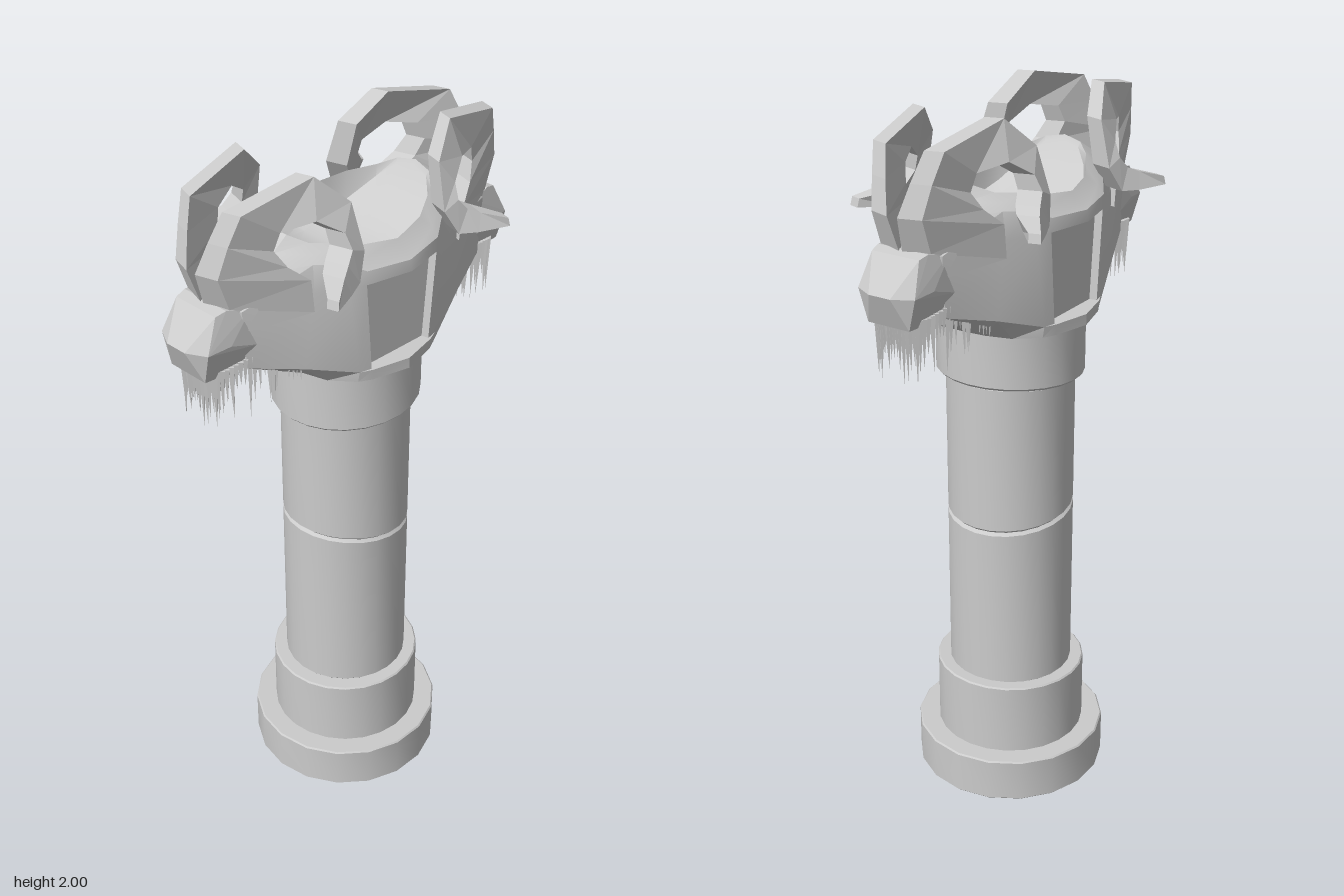
import * as THREE from 'three';
import { toCreasedNormals, mergeGeometries } from 'three/addons/utils/BufferGeometryUtils.js';
import { ConvexGeometry } from 'three/addons/geometries/ConvexGeometry.js';

const smooth = new THREE.MeshStandardMaterial({ color: 0xcccccc });
const flat = new THREE.MeshStandardMaterial({ color: 0xcccccc, flatShading: true });

function add(parent, name, geometry, material = flat) {
  const mesh = new THREE.Mesh(geometry, material);
  mesh.name = name;
  parent.add(mesh);
  return mesh;
}

// Skin closed rings of points; flip swaps the facing
function skin(rings, flip, crease = 0.3) {
  const pos = [];
  const tri = (a, b, c) => {
    const same = (p, q) => p.every((v, k) => Math.abs(v - q[k]) < 1e-6);
    if (same(a, b) || same(b, c) || same(a, c)) return;
    pos.push(...a, ...(flip ? c : b), ...(flip ? b : c));
  };
  for (let i = 0; i < rings.length - 1; i++) {
    const n = rings[i].length;
    for (let j = 0; j < n; j++) {
      const k = (j + 1) % n;
      const [a, b, c, d] = [rings[i][j], rings[i + 1][j], rings[i + 1][k], rings[i][k]];
      tri(a, b, d);
      tri(b, c, d);
    }
  }
  const g = new THREE.BufferGeometry();
  g.setAttribute('position', new THREE.Float32BufferAttribute(pos, 3));
  g.computeVertexNormals();
  return toCreasedNormals(g, crease);
}

// Bevelled drum whose ends may slope along z
function drum(r, y0, y1, slope0 = 0, slope1 = 0, sides = 24, bevel = 0.008) {
  const h = y1 - y0, e = bevel / h;
  const profile = [[0, 0], [r - bevel, 0], [r, e], [r, 1 - e], [r - bevel, 1], [0, 1]];
  const g = new THREE.LatheGeometry(profile.map(p => new THREE.Vector2(...p)), sides);
  const p = g.attributes.position;
  for (let i = 0; i < p.count; i++) {
    const t = p.getY(i), z = p.getZ(i);
    p.setY(i, y0 + h * t + z * (slope0 * (1 - t) + slope1 * t));
  }
  return toCreasedNormals(g, 0.6);
}

// Lens-shaped capital: each column runs from the underside up to the bowl lip
function capitalBody() {
  // Middle of the flank, panel frame, shoulder and neck
  const mid = [[.235, 1.42, 0], [.235, 1.45, 0], [.182, 1.45, 0], [.182, 1.7, 0], [.235, 1.7, 0], [.23, 1.73, 0], [.205, 1.745, 0], [.185, 1.772, 0]];
  const frame = [[.208, 1.42, .105], [.21, 1.45, .105], [.203, 1.45, .105], [.203, 1.7, .125], [.208, 1.7, .125], [.205, 1.736, .125], [.185, 1.757, .125], [.16, 1.783, .105]];
  // Plain columns: underside, jaw, brow, then three steps up to the lip
  const plain = [
    [[.19, 1.42, .14], [.195, 1.45, .14], [.187, 1.7, .17], [.175, 1.76, .17], [.16, 1.775, .165], [.138, 1.795, .145]],
    [[.13, 1.42, .19], [.145, 1.5, .28], [.15, 1.7, .25], [.135, 1.77, .24], [.12, 1.785, .225], [.095, 1.805, .215]],
    [[.06, 1.42, .21], [.09, 1.54, .42], [.09, 1.7, .43], [.075, 1.765, .35], [.06, 1.795, .3], [.055, 1.825, .25]],
    [[0, 1.42, .215], [0, 1.54, .47], [0, 1.7, .48], [0, 1.765, .36], [0, 1.8, .31], [0, 1.835, .26]],
  ].map(([foot, jaw, brow, ...rim]) => [foot, jaw, jaw, brow, brow, ...rim]);
  // The recessed panel is the frame with its two inner points pushed in
  const panelEdge = frame.map(([x, y, z], i) => (i === 2 || i === 3 ? [.182, y, z - .003] : [x, y, z]));
  const end = plain.pop();
  const inner = [panelEdge, frame, ...plain], back = [...inner].reverse();
  const mirror = (sx, sz) => col => col.map(([x, y, z]) => [sx * x, y, sz * z]);
  const loop = [
    mid, ...inner, end, ...back.map(mirror(-1, 1)),
    mirror(-1, 1)(mid), ...inner.map(mirror(-1, -1)), mirror(1, -1)(end), ...back.map(mirror(1, -1)),
  ];
  const rings = mid.map((_, i) => loop.map(c => c[i]));
  const lip = rings[rings.length - 1];
  // Trough-like bowl, curved from front to back
  for (const s of [.97, .8, .6, .4, .2, 0]) {
    rings.push(lip.map(([x, , z]) => [x * s, 1.67 + 2.4 * (z * s) ** 2, z * s]));
  }
  return skin([lip.map(() => [0, 1.42, 0]), ...rings], false, 0.45);
}

// Curling horn: outer edge, inner edge and half thickness at each station
function horn(side) {
  const stations = [
    [[.045, 1.64, .46], [.125, 1.66, .27], .035],
    [[.04, 1.71, .465], [.125, 1.75, .28], .035],
    [[.045, 1.8, .495], [.105, 1.795, .33], .03],
    [[.062, 1.88, .47], [.09, 1.84, .355], .026],
    [[.08, 1.955, .44], [.1, 1.885, .34], .024],
    [[.112, 1.997, .24], [.14, 1.9, .26], .023],
    [[.15, 1.92, .16], [.17, 1.86, .2], .026],
    [[.18, 1.8, .15], [.185, 1.82, .195], .03],
    [[.2, 1.735, .185], [.195, 1.79, .22], .03],
    [[.225, 1.73, .235], [.215, 1.775, .25], .028],
    [[.273, 1.732, .31], [.27, 1.755, .305], .015],
  ];
  const rings = stations.map(([o, i, t]) =>
    [[o, t], [i, t], [i, -t], [o, -t]].map(([p, d]) => [side * (p[0] + d), p[1], p[2] - d * .3]));
  const cap = ring => ring.map(() => [0, 1, 2].map(k => ring.reduce((s, p) => s + p[k], 0) / 4));
  return skin([cap(rings[0]), ...rings, cap(rings[rings.length - 1])], side > 0);
}

// Faceted snout, symmetrical in x
function muzzle() {
  const half = [
    [.09, 1.7, .4], [.075, 1.712, .465], [.07, 1.705, .495], [.085, 1.62, .535], [.032, 1.62, .563],
    [.094, 1.625, .47], [.1, 1.6, .39], [.062, 1.535, .53], [.085, 1.54, .37],
  ];
  return new ConvexGeometry(half.flatMap(([x, y, z]) =>
    [new THREE.Vector3(x, y, z), new THREE.Vector3(-x, y, z)]));
}

// Ragged beard: thin spikes hanging along a U under the jaw
function beard() {
  let seed = 7;
  const rnd = () => (seed = (seed * 16807) % 2147483647) / 2147483647;
  const path = new THREE.CatmullRomCurve3([
    [-.11, 1.53, .26], [-.09, 1.56, .37], [-.068, 1.545, .49], [0, 1.545, .52],
    [.068, 1.545, .49], [.09, 1.56, .37], [.11, 1.53, .26],
  ].map(p => new THREE.Vector3(...p)));
  const spikes = [], n = 56;
  for (let i = 0; i <= n; i++) {
    const p = path.getPoint(i / n);
    const reach = THREE.MathUtils.smoothstep(p.z, .25, .4);
    const len = (.06 + .12 * rnd()) * (.6 + .4 * reach);
    const g = new THREE.ConeGeometry(.01, len, 4);
    g.rotateX(Math.PI);
    g.translate(0, -len / 2 + .01, 0);
    g.rotateZ((rnd() - .5) * .1);
    g.translate(p.x, p.y, p.z);
    spikes.push(g);
  }
  return mergeGeometries(spikes);
}

export function createModel() {
  const model = new THREE.Group();
  model.name = 'statueColumn';

  // Stacked column
  const column = new THREE.Group();
  column.name = 'column';
  column.position.z = -.004;
  add(column, 'plinth', drum(.274, 0, .13, 0, 0, 18, .004), smooth);
  add(column, 'base', drum(.214, .125, .34, 0, -.02, 24, .004), smooth);
  add(column, 'lowerShaft', drum(.177, .335, .845, 0, .13), smooth);
  add(column, 'upperShaft', drum(.177, .845, 1.25, .13, -.06), smooth);
  add(column, 'collar', drum(.203, 1.25, 1.425, -.06, 0), smooth);
  model.add(column);

  // Bowl-shaped capital with a recessed panel on each flank
  add(model, 'capital', capitalBody(), smooth);

  // Two horned heads, front and back
  for (const [name, turn] of [['frontHead', 0], ['backHead', Math.PI]]) {
    const head = new THREE.Group();
    head.name = name;
    head.rotation.y = turn;
    add(head, 'muzzle', muzzle());
    add(head, 'beard', beard());
    add(head, 'leftHorn', horn(1));
    add(head, 'rightHorn', horn(-1));
    model.add(head);
  }
  return model;
}
